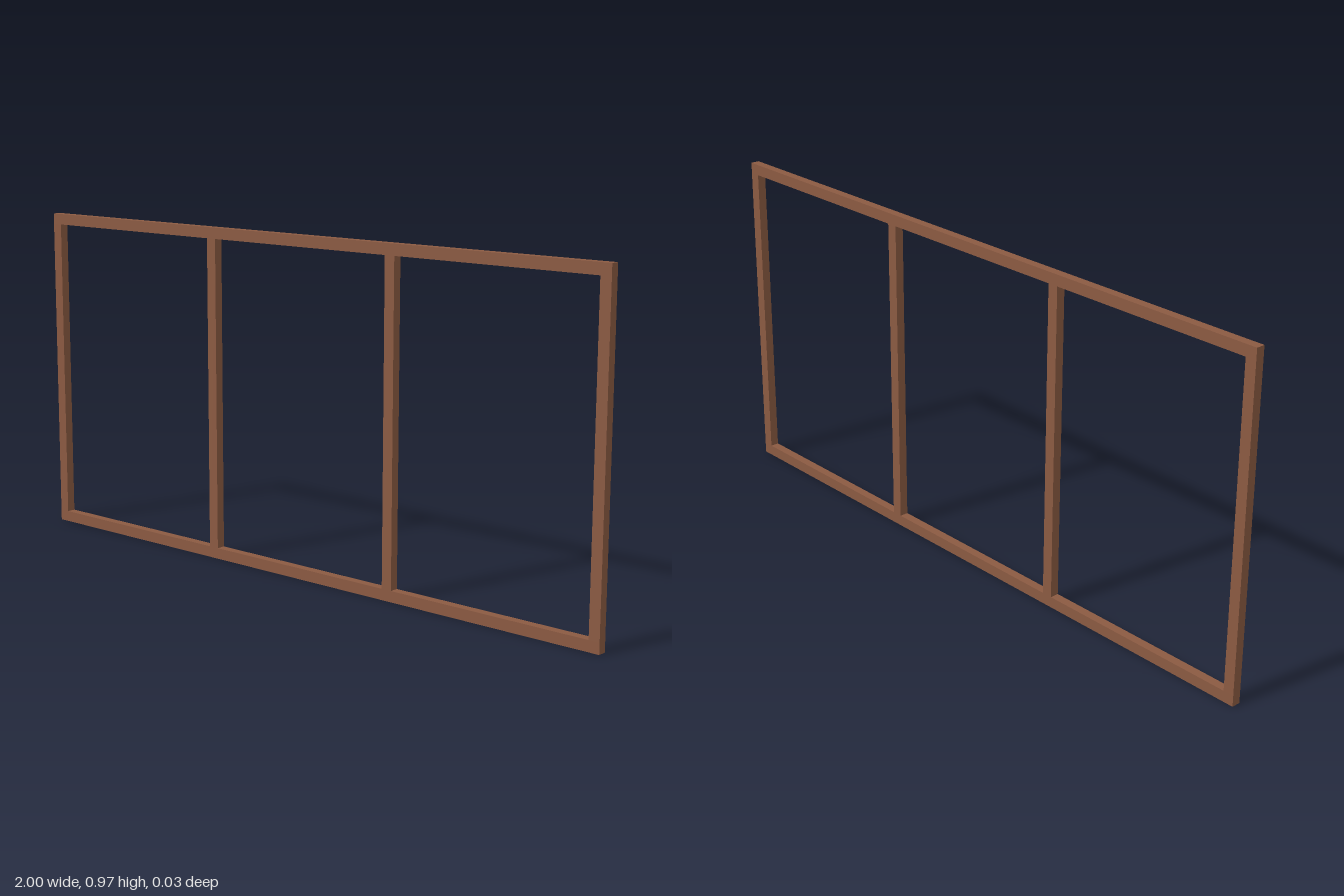
import * as THREE from 'three';

export function createModel() {
  const group = new THREE.Group();
  group.name = 'threePaneFrame';
  const wood = new THREE.MeshStandardMaterial({ color: 0x8b5a42 });
  wood.name = 'brown wood';

  const H = 0.973, D = 0.026, BAR = 0.032;
  const beam = (name, w, h, x, y) => {
    const mesh = new THREE.Mesh(new THREE.BoxGeometry(w, h, D), wood);
    mesh.name = name;
    mesh.position.set(x, y, 0);
    group.add(mesh);
  };

  // Full-width rails
  beam('bottomRail', 2, BAR, 0, BAR / 2);
  beam('topRail', 2, BAR, 0, H - BAR / 2);

  // End posts and inner mullions fit between the rails
  for (const [side, s] of [['left', 1], ['right', -1]]) {
    beam(side + 'Post', BAR, H - 2 * BAR, s * (1 - BAR / 2), H / 2);
    beam(side + 'Mullion', BAR, H - 2 * BAR, s * 0.325, H / 2);
  }
  return group;
}
